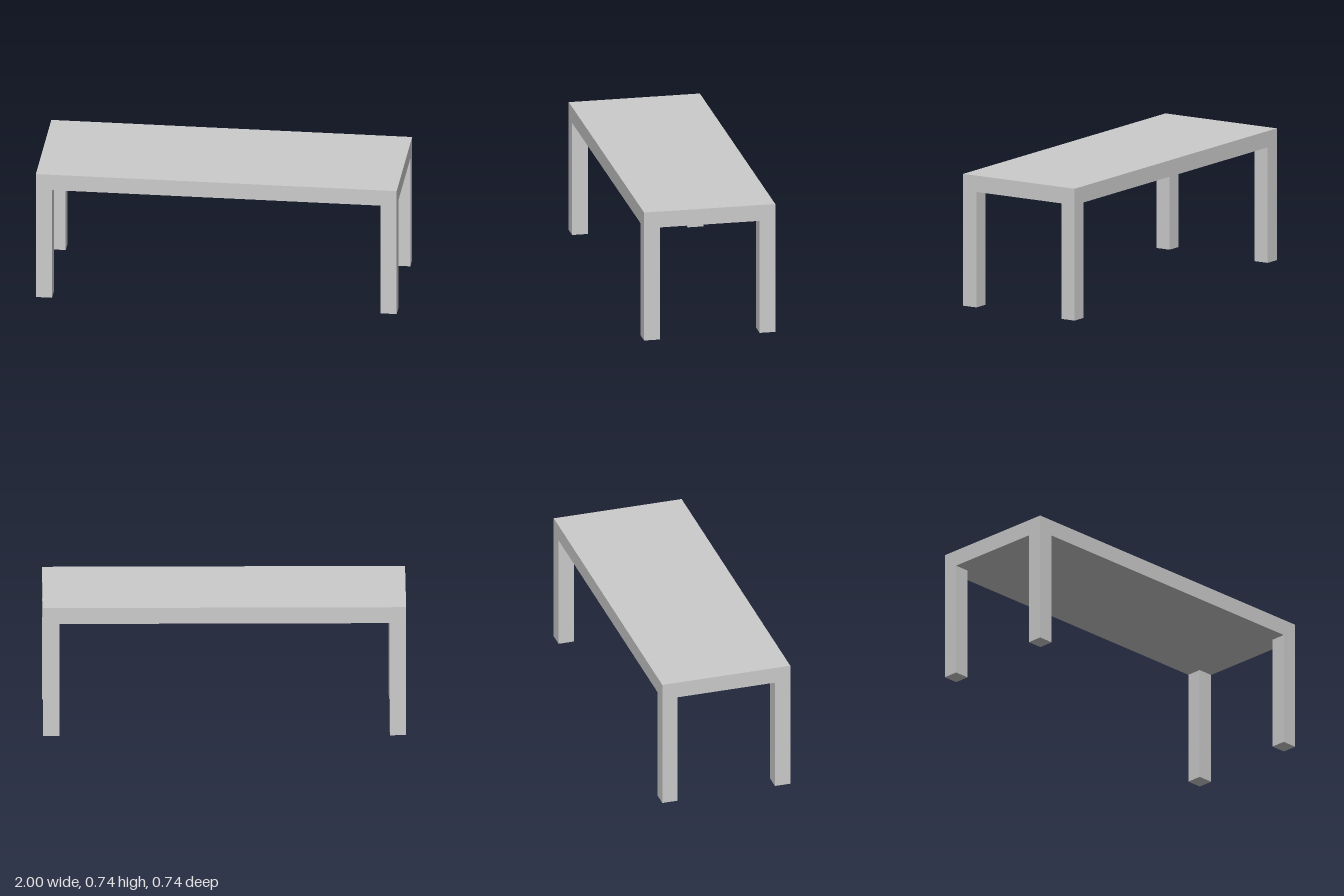
import * as THREE from 'three';

const WIDTH = 2, DEPTH = 0.738, HEIGHT = 0.741;
const TOP = 0.092; // tabletop thickness
const LEG_X = 0.09, LEG_Z = 0.088;

export function createModel() {
  const table = new THREE.Group();
  table.name = 'table';
  const material = new THREE.MeshStandardMaterial({ color: 0xcccccc, flatShading: true });

  // Box standing on height y
  const addBox = (name, w, h, d, x, y, z) => {
    const mesh = new THREE.Mesh(new THREE.BoxGeometry(w, h, d), material);
    mesh.name = name;
    mesh.position.set(x, y + h / 2, z);
    table.add(mesh);
  };

  // Thick slab top
  const legHeight = HEIGHT - TOP;
  addBox('tabletop', WIDTH, TOP, DEPTH, 0, legHeight, 0);

  // Four square legs, flush with the corners of the top
  for (const [side, sx] of [['Left', 1], ['Right', -1]]) {
    for (const [end, sz] of [['front', 1], ['back', -1]]) {
      addBox(`${end}${side}Leg`, LEG_X, legHeight, LEG_Z,
        sx * (WIDTH - LEG_X) / 2, 0, sz * (DEPTH - LEG_Z) / 2);
    }
  }
  return table;
}
